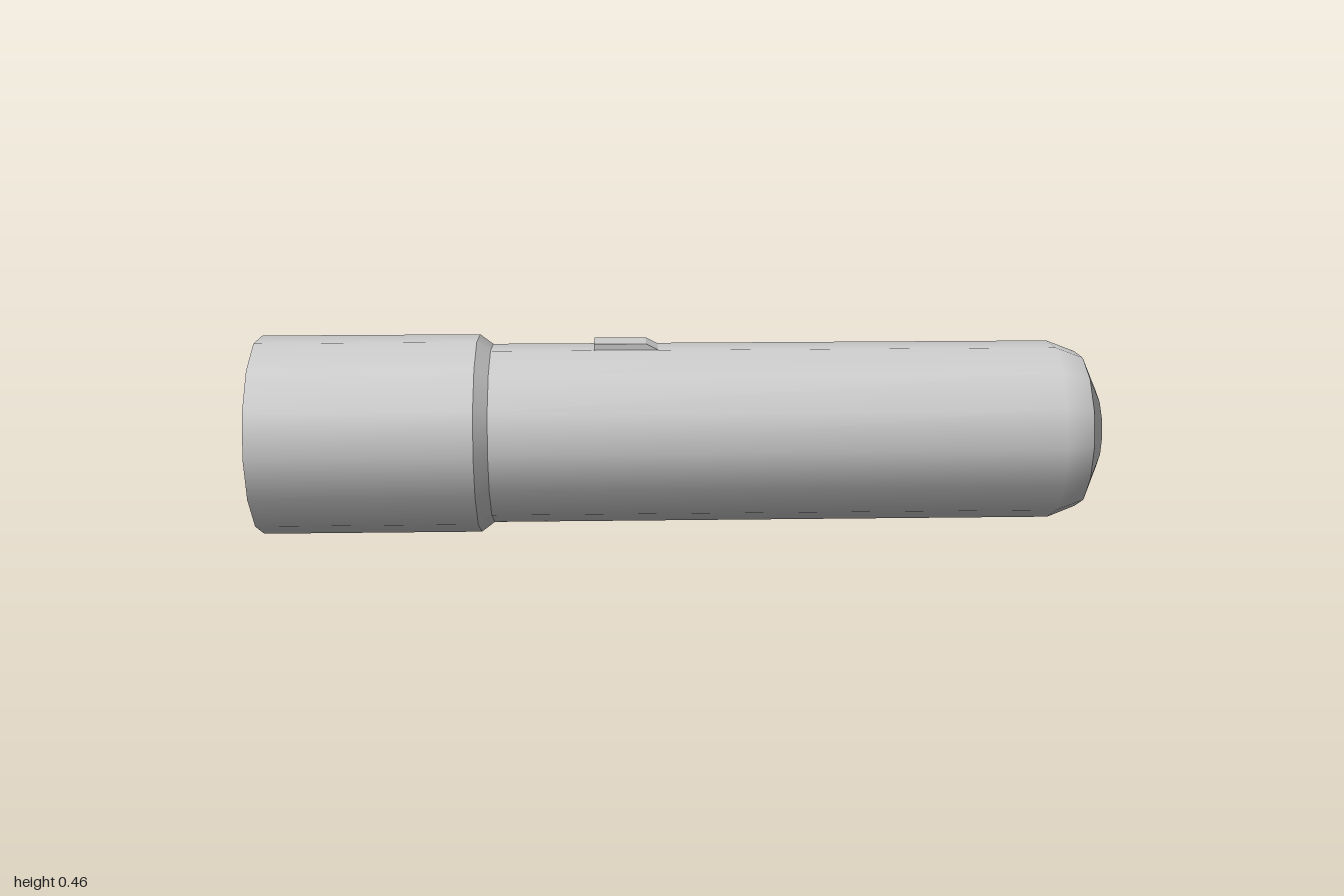
import * as THREE from 'three';

const SIDES = 14;
const AXIS_Y = 0.23;

export function createModel() {
  const group = new THREE.Group();
  const material = new THREE.MeshStandardMaterial({ color: 0xcccccc });

  function add(name, geometry) {
    const mesh = new THREE.Mesh(geometry, material);
    mesh.name = name;
    mesh.position.y = AXIS_Y;
    group.add(mesh);
  }

  // Turned section along x from [x, radius] pairs; smooth within, sharp between sections
  function turned(name, profile) {
    const points = profile.map(([x, r]) => new THREE.Vector2(r, x));
    add(name, new THREE.LatheGeometry(points, SIDES).rotateZ(-Math.PI / 2));
  }

  // Wide head with its flat face and the bevel down to the barrel
  turned('headFace', [[-1, 0], [-1, 0.236]]);
  turned('head', [[-1, 0.236], [-0.483, 0.236]]);
  turned('headBevel', [[-0.483, 0.236], [-0.452, 0.213]]);

  // Barrel with softly tapered end, then a domed cap
  turned('barrel', [[-0.452, 0.213], [0.88, 0.213], [0.947, 0.187]]);
  turned('endCap', [[0.947, 0.187], [0.988, 0.1], [1, 0]]);

  // Switch: a thin slab with a sloping front end
  const side = new THREE.Shape([
    new THREE.Vector2(-0.21, 0.2),
    new THREE.Vector2(-0.06, 0.2),
    new THREE.Vector2(-0.06, 0.208),
    new THREE.Vector2(-0.088, 0.222),
    new THREE.Vector2(-0.21, 0.222),
  ]);
  const width = 0.086;
  const slab = new THREE.ExtrudeGeometry(side, { depth: width, bevelEnabled: false });
  add('switch', slab.translate(0, 0, -width / 2));

  return group;
}
